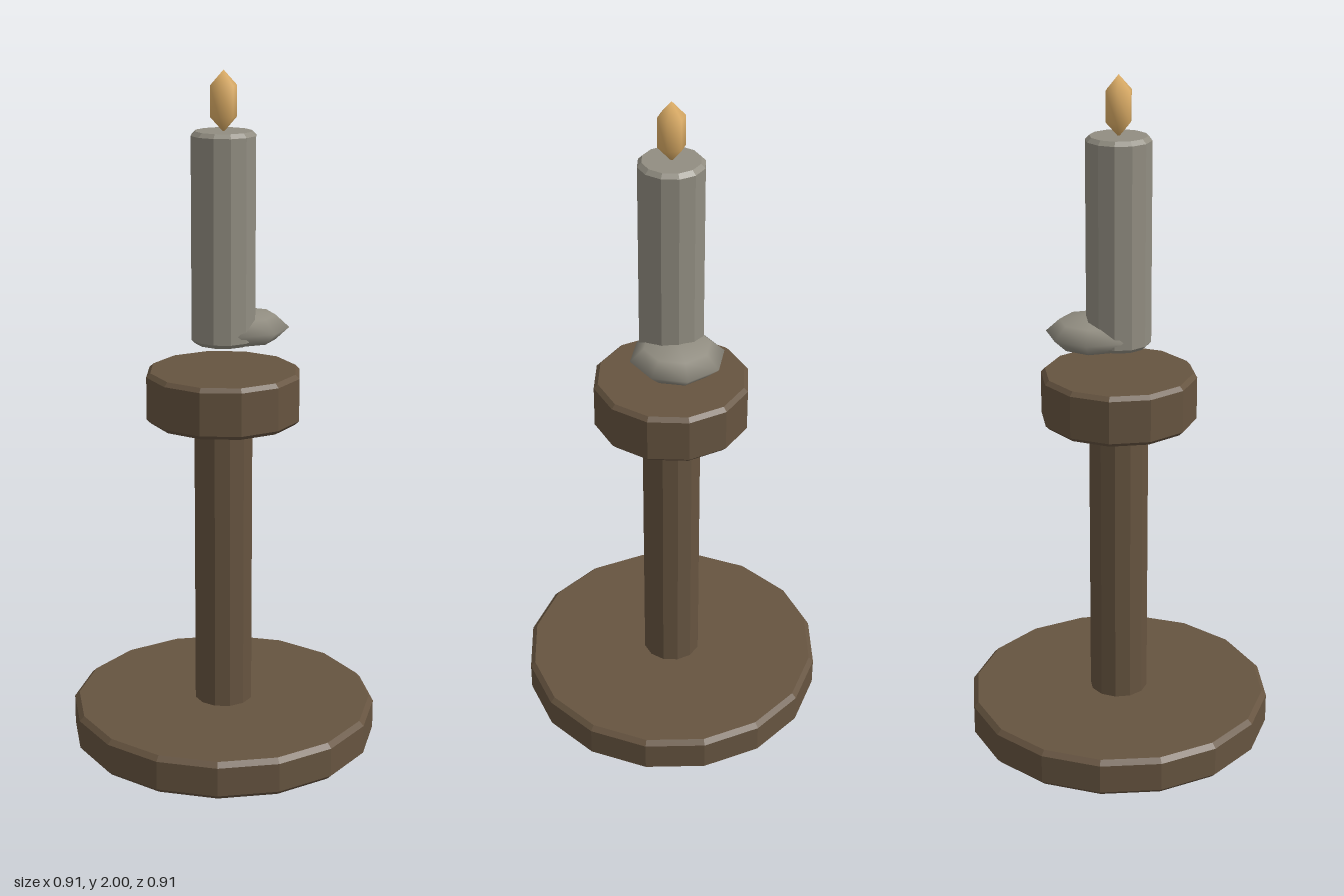
import * as THREE from 'three';

const wood = new THREE.MeshStandardMaterial({ color: 0x665440 });
wood.name = 'brown wood';
const wax = new THREE.MeshStandardMaterial({ color: 0x918d81 });
wax.name = 'grey wax';
const fire = new THREE.MeshStandardMaterial({ color: 0xe0b068 });
fire.name = 'amber flame';

// Faceted upright disc or post with bevelled rims, from y0 to y1
function turned(name, radius, y0, y1, sides, bevel, material) {
  const profile = [
    [0, y0], [radius - bevel, y0], [radius, y0 + bevel],
    [radius, y1 - bevel], [radius - bevel, y1], [0, y1],
  ].map(([x, y]) => new THREE.Vector2(x, y));
  const geometry = new THREE.LatheGeometry(profile, sides).toNonIndexed();
  geometry.computeVertexNormals();
  const mesh = new THREE.Mesh(geometry, material);
  mesh.name = name;
  return mesh;
}

// Smooth low-poly ellipsoid of revolution
function blob(name, radius, halfHeight, sides, rings, material) {
  const geometry = new THREE.SphereGeometry(1, sides, rings);
  geometry.rotateY(Math.PI / 2);
  geometry.scale(radius, halfHeight, radius);
  const mesh = new THREE.Mesh(geometry, material);
  mesh.name = name;
  return mesh;
}

export function createModel() {
  const group = new THREE.Group();
  group.name = 'candlestick';

  // Wooden stand
  group.add(turned('base', 0.457, 0, 0.115, 16, 0.014, wood));
  group.add(turned('stem', 0.087, 0.1, 0.99, 12, 0.012, wood));
  group.add(turned('dish', 0.228, 0.995, 1.145, 12, 0.012, wood));

  // Candle hovering above the dish, with a wax drip on its left
  group.add(turned('candle', 0.094, 1.225, 1.832, 12, 0.012, wax));
  const drip = blob('waxDrip', 0.136, 0.052, 8, 4, wax);
  drip.position.set(0.075, 1.259, 0);
  group.add(drip);

  // Six-sided flame
  const flame = blob('flame', 0.045, 0.086, 6, 3, fire);
  flame.position.y = 1.914;
  group.add(flame);

  return group;
}
